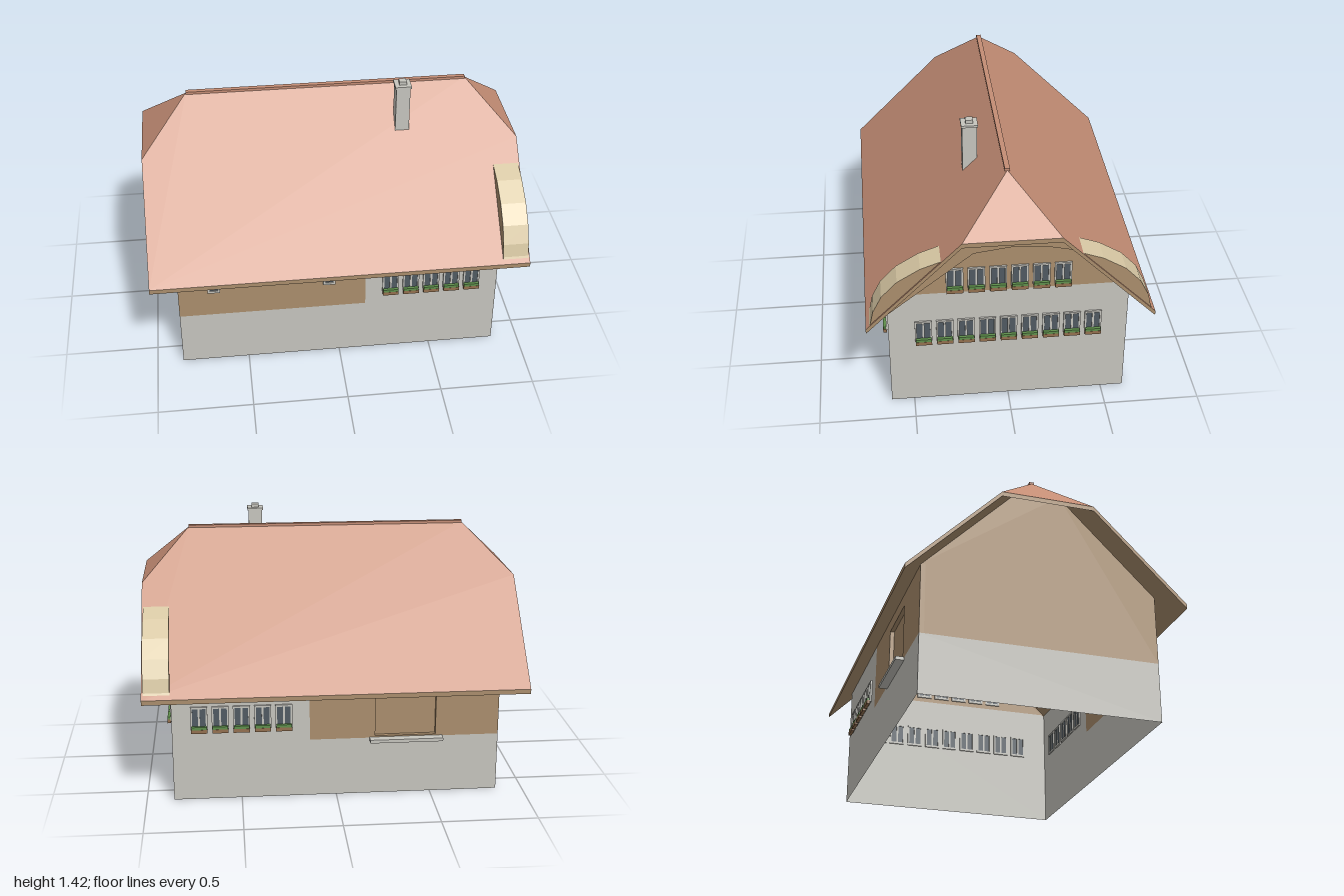
import * as THREE from 'three';

const mat = (name, color, side = THREE.FrontSide) =>
  Object.assign(new THREE.MeshStandardMaterial({ color, side }), { name });

// Shape from [x, y] points, with optional holes
function outline(points, holes = []) {
  const v = (list) => list.map(([x, y]) => new THREE.Vector2(x, y));
  const shape = new THREE.Shape(v(points));
  for (const h of holes) shape.holes.push(new THREE.Path(v(h)));
  return shape;
}
const rect = (x0, y0, x1, y1) => [[x0, y0], [x1, y0], [x1, y1], [x0, y1]];

// Flat polygons (convex, counter-clockwise from outside) as one geometry
function polygons(list) {
  const pos = [];
  for (const p of list)
    for (let i = 1; i < p.length - 1; i++) pos.push(...p[0], ...p[i], ...p[i + 1]);
  const g = new THREE.BufferGeometry();
  g.setAttribute('position', new THREE.Float32BufferAttribute(pos, 3));
  g.computeVertexNormals();
  return g;
}

export function createModel() {
  const plaster = mat('plaster', 0xc6c5be, THREE.DoubleSide);
  const wood = mat('wood', 0xaa8e6d, THREE.DoubleSide);
  const tile = mat('roofTile', 0xc48d75);
  const cream = mat('archBoards', 0xd8c8a4, THREE.DoubleSide);
  const glass = mat('glass', 0x505a62);
  const leaf = mat('leaves', 0x5f8f4c);
  const planter = mat('planter', 0x94704f);

  const model = new THREE.Group();
  model.name = 'farmhouse';
  const add = (parent, name, geo, material, x = 0, y = 0, z = 0, ry = 0) => {
    const m = new THREE.Mesh(geo, material);
    m.name = name;
    m.position.set(x, y, z);
    m.rotation.y = ry;
    parent.add(m);
    return m;
  };
  const box = (parent, name, w, h, d, material, x, y, z) =>
    add(parent, name, new THREE.BoxGeometry(w, h, d), material, x, y, z);

  const X0 = -0.86, X1 = 0.857, Z = 0.62, SPLIT = 0.14, BASE = 0.315, TOP = 0.69;

  // Long walls: plaster with a timber section over the base
  const plasterL = outline([[X0, 0], [X1, 0], [X1, TOP], [SPLIT, TOP], [SPLIT, BASE], [X0, BASE]]);
  for (const s of [1, -1])
    add(model, s > 0 ? 'frontPlasterWall' : 'backPlasterWall', new THREE.ShapeGeometry(plasterL), plaster, 0, 0, s * Z);
  add(model, 'frontTimberWall', new THREE.ShapeGeometry(outline(rect(X0, BASE, SPLIT, TOP))), wood, 0, 0, Z);

  // Back timber wall with a recessed barn door and its loading ledge
  const doorway = rect(-0.525, 0.325, -0.205, 0.62);
  add(model, 'backTimberWall', new THREE.ExtrudeGeometry(
    outline(rect(X0, BASE, SPLIT, TOP), [doorway]), { depth: 0.025, bevelEnabled: false }), wood, 0, 0, -Z);
  add(model, 'barnDoor', new THREE.ShapeGeometry(outline(doorway)), wood, 0, 0, -Z + 0.022);
  box(model, 'loadingLedge', 0.385, 0.018, 0.045, plaster, -0.3675, 0.309, -Z - 0.0225);

  // Gable walls
  for (const [side, x, split] of [['left', X1, TOP], ['right', X0, BASE]]) {
    const gable = [[-Z, split], [Z, split], [Z, TOP], [0.11, 1.2], [-0.11, 1.2], [-Z, TOP]];
    add(model, side + 'PlasterWall', new THREE.ShapeGeometry(outline(rect(-Z, 0, Z, split))), plaster, x, 0, 0, Math.PI / 2);
    add(model, side + 'TimberGable', new THREE.ShapeGeometry(outline(gable)), wood, x, 0, 0, Math.PI / 2);
  }

  // Half-hipped roof: tiled top, wooden underside and edge boards
  const T = 0.025;
  const slope = [[-1, 0.6, 0.73], [1, 0.6, 0.73], [1, 1.085, 0.245], [0.75, 1.33, 0], [-0.75, 1.33, 0], [-1, 1.085, 0.245]];
  const hip = [[1, 1.085, 0.245], [1, 1.085, -0.245], [0.75, 1.33, 0]];
  const turn = (poly) => poly.map(([x, y, z]) => [-x, y, -z]);
  const top = [slope, turn(slope), hip, turn(hip)];
  const drop = ([x, y, z]) => [x, y - T, z];
  const under = top.map((p) => p.map(drop).reverse());
  const rim = [[0, 1], [1, 2], [5, 0]].map(([i, j]) => [slope[i], drop(slope[i]), drop(slope[j]), slope[j]]);
  rim.push([hip[0], drop(hip[0]), drop(hip[1]), hip[1]]);
  add(model, 'roofTiles', polygons(top), tile);
  add(model, 'roofUnderside', polygons(under), wood);
  add(model, 'roofEdgeBoards', polygons([...rim, ...rim.map(turn)]), wood);
  box(model, 'ridgeCap', 1.5, 0.014, 0.026, tile, 0, 1.333, 0);

  // Curved arch under the overhang of the left gable
  const outer = [[0.722, 0.598], [0.705, 0.63], [0.69, 0.7], [0.645, 0.79], [0.565, 0.875], [0.45, 0.945], [0.34, 0.985], [0.25, 1.07]];
  const inner = [[0.31, 1.003], [0.17, 1.035], [0, 1.045]];
  const flip = (list) => list.map(([z, y]) => [-z, y]).reverse();
  const arch = outline([...outer, ...flip(outer), ...flip(inner.slice(0, 2)), inner[2], inner[1], inner[0]]);
  add(model, 'gableArch', new THREE.ExtrudeGeometry(arch, { depth: 0.135, bevelEnabled: false }),
    [wood, cream], 0.857, 0, 0, Math.PI / 2);

  // Chimney
  const chimney = new THREE.Group();
  chimney.name = 'chimney';
  chimney.position.set(0.384, 0, 0.155);
  model.add(chimney);
  box(chimney, 'chimneyStack', 0.074, 0.29, 0.076, plaster, 0, 1.245, 0);
  box(chimney, 'chimneyCap', 0.086, 0.012, 0.086, plaster, 0, 1.396, 0);
  box(chimney, 'chimneyPot', 0.038, 0.02, 0.038, plaster, 0, 1.411, 0);

  // Windows: pierced frame over a glass plate
  const frameOf = (w, h, holes) => new THREE.ExtrudeGeometry(
    outline(rect(-w / 2, 0, w / 2, h), holes), { depth: 0.018, bevelEnabled: false });
  const tallFrame = frameOf(0.088, 0.125, [rect(-0.035, 0.012, -0.005, 0.115), rect(0.005, 0.012, 0.035, 0.115)]);
  const smallFrame = frameOf(0.066, 0.06, [rect(-0.022, 0.013, 0.022, 0.047)]);

  function tallWindow(x, y, z, ry) {
    const g = new THREE.Group();
    g.name = 'window';
    g.position.set(x, y, z);
    g.rotation.y = ry;
    model.add(g);
    add(g, 'windowFrame', tallFrame, plaster, 0, 0.015, -0.008);
    box(g, 'windowGlass', 0.08, 0.115, 0.009, glass, 0, 0.078, 0);
    box(g, 'flowerBox', 0.084, 0.02, 0.018, planter, 0, 0.01, 0.017);
    box(g, 'flowerLeaves', 0.08, 0.016, 0.016, leaf, 0, 0.027, 0.017);
  }
  for (let i = 0; i < 5; i++) {
    tallWindow(0.275 + i * 0.11, 0.378, Z, 0);
    tallWindow(0.275 + i * 0.11, 0.378, -Z, Math.PI);
  }
  for (let i = -4; i <= 4; i++) tallWindow(X1, 0.378, i * 0.11, Math.PI / 2);
  for (let i = 0; i < 6; i++) tallWindow(X1, 0.7, (i - 2.5) * 0.11, Math.PI / 2);

  for (const x of [-0.67, -0.056]) {
    add(model, 'smallWindowFrame', smallFrame, plaster, x, 0.468, Z - 0.008);
    box(model, 'smallWindowGlass', 0.058, 0.052, 0.009, glass, x, 0.498, Z);
  }
  return model;
}
